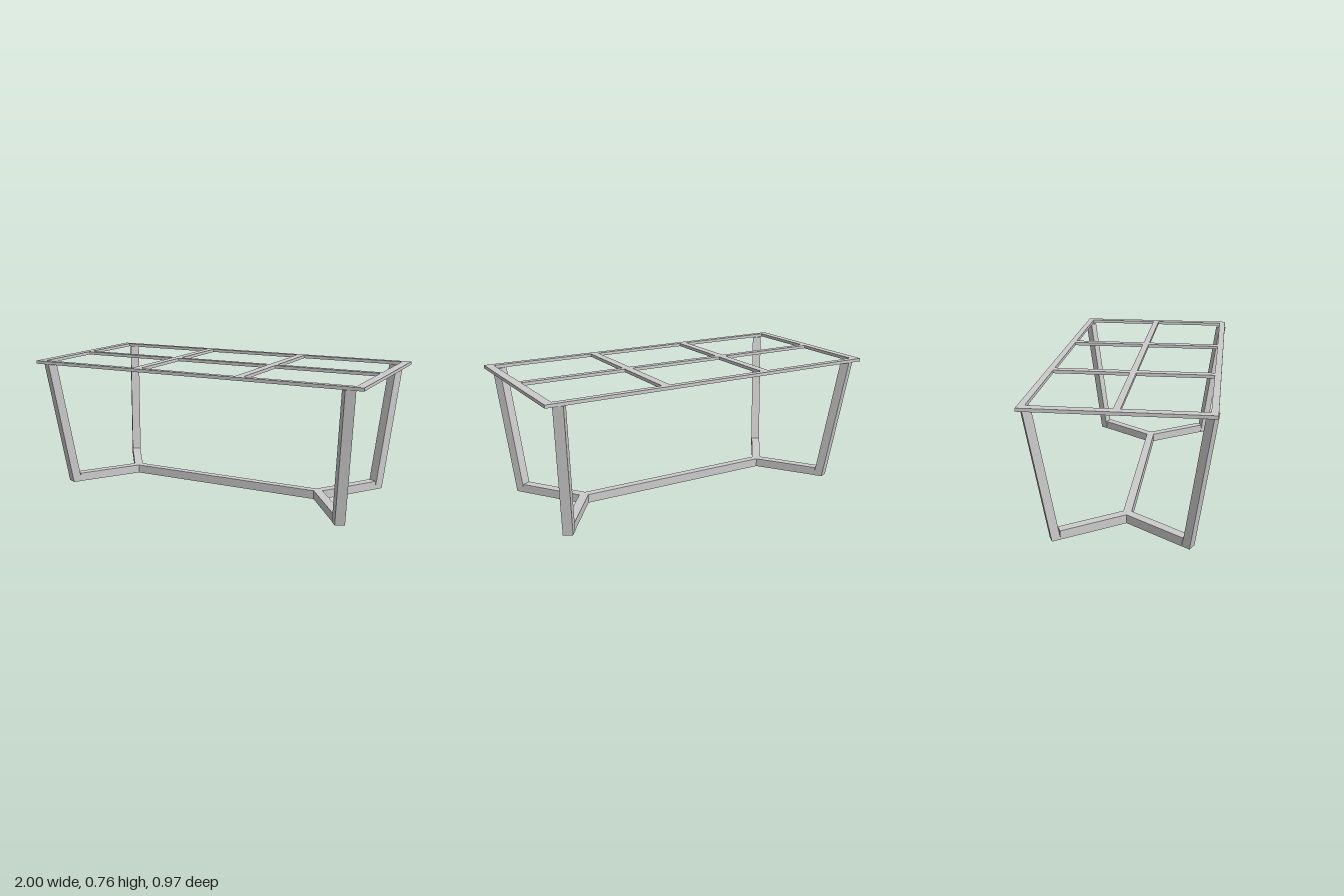
import * as THREE from 'three';

const material = new THREE.MeshStandardMaterial({ color: 0xcccccc, flatShading: true });
const TOP = 0.76, UNDER = 0.742, BASE = 0.05;

function addMesh(parent, name, geometry) {
  const mesh = new THREE.Mesh(geometry, material);
  mesh.name = name;
  parent.add(mesh);
  return mesh;
}

// Flat bar of the top frame, given by its plan extents
function addBar(parent, name, x0, x1, z0, z1) {
  const bar = addMesh(parent, name, new THREE.BoxGeometry(x1 - x0, TOP - UNDER, z1 - z0));
  bar.position.set((x0 + x1) / 2, (TOP + UNDER) / 2, (z0 + z1) / 2);
}

// Splayed leg: a box whose corners are moved onto a skewed, leaning section
function legGeometry(sx, sz) {
  const geometry = new THREE.BoxGeometry(2, 2, 2);
  const p = geometry.attributes.position;
  for (let i = 0; i < p.count; i++) {
    const u = p.getX(i) * sx, w = p.getZ(i) * sz;
    const t = (p.getY(i) + 1) / 2;
    const x = 0.852 + 0.065 * t + 0.0245 * u + 0.0145 * w;
    const z = 0.346 + 0.108 * t - 0.0115 * u + 0.02 * w;
    p.setXYZ(i, sx * x, UNDER * t, sz * z);
  }
  geometry.computeVertexNormals();
  return geometry;
}

// Floor stretcher: a straight spine with a V of two arms at each end
function stretcherGeometry() {
  const quarter = [[0.595, 0.023], [0.817, 0.339], [0.864, 0.316], [0.641, 0]];
  const right = [...quarter, ...quarter.slice(0, 3).reverse().map(([x, z]) => [x, -z])];
  const left = right.map(([x, z]) => [-x, -z]);
  const shape = new THREE.Shape([...right, ...left].map(([x, z]) => new THREE.Vector2(x, z)));
  const geometry = new THREE.ExtrudeGeometry(shape, { depth: BASE, bevelEnabled: false });
  return geometry.rotateX(-Math.PI / 2);
}

export function createModel() {
  const model = new THREE.Group();
  model.name = 'tableFrame';

  // Top frame: long rails, end rails, spine and cross bars
  const frame = new THREE.Group();
  frame.name = 'topFrame';
  model.add(frame);
  addBar(frame, 'frontRail', -1, 1, 0.444, 0.48);
  addBar(frame, 'backRail', -1, 1, -0.48, -0.444);
  addBar(frame, 'leftEndRail', 0.952, 1, -0.444, 0.444);
  addBar(frame, 'rightEndRail', -1, -0.952, -0.444, 0.444);
  addBar(frame, 'centreRail', -0.952, 0.952, -0.018, 0.018);
  for (const x of [-0.317, 0.317]) {
    addBar(frame, 'crossBarFront', x - 0.024, x + 0.024, 0.018, 0.444);
    addBar(frame, 'crossBarBack', x - 0.024, x + 0.024, -0.444, -0.018);
  }

  // Floor stretcher and the four legs
  addMesh(model, 'stretcher', stretcherGeometry());
  for (const sx of [-1, 1]) for (const sz of [-1, 1]) {
    const name = (sz > 0 ? 'front' : 'back') + (sx > 0 ? 'Left' : 'Right') + 'Leg';
    addMesh(model, name, legGeometry(sx, sz));
  }
  return model;
}
